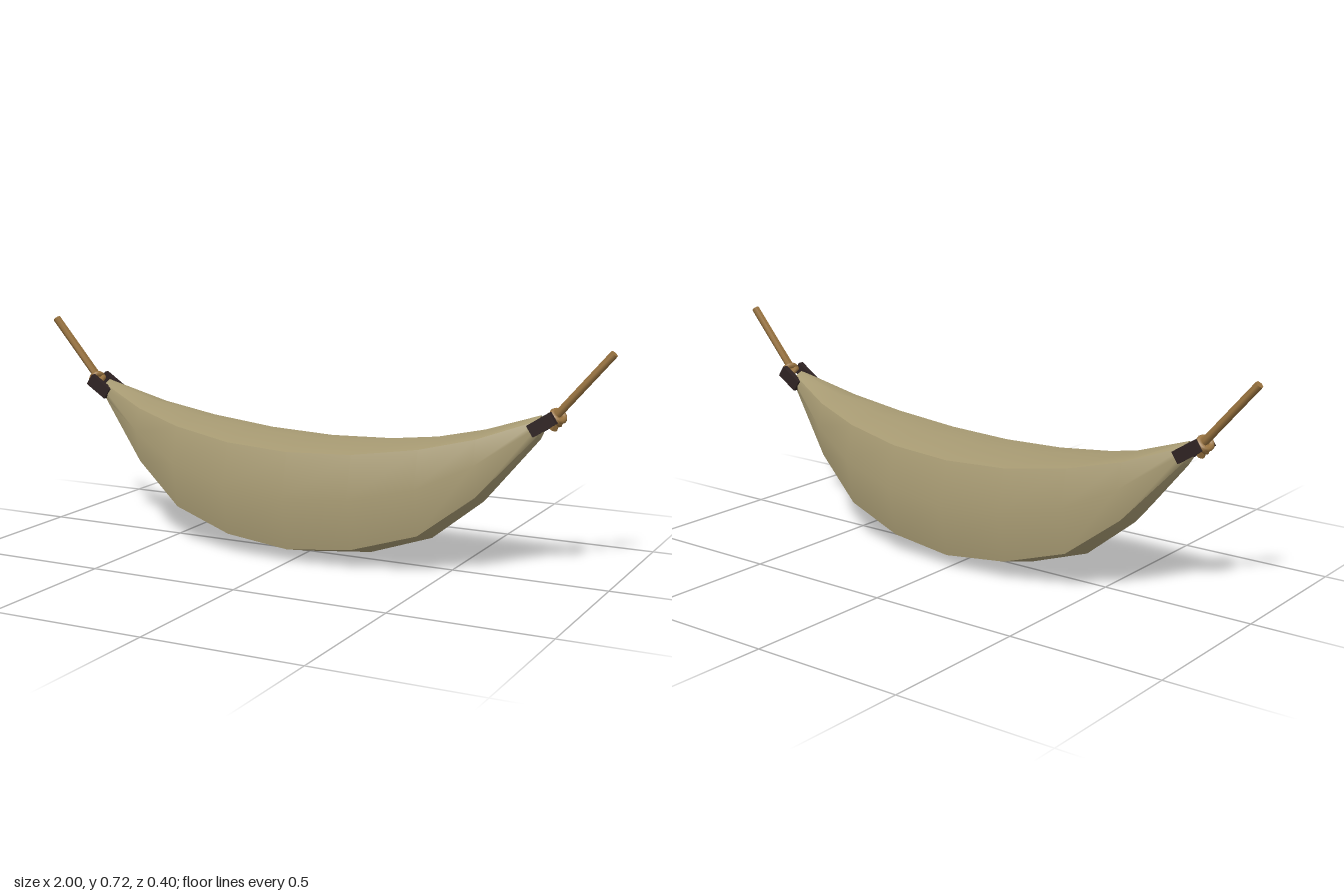
import * as THREE from 'three';
import { toCreasedNormals } from 'three/addons/utils/BufferGeometryUtils.js';

const canvas = new THREE.MeshStandardMaterial({ color: 0xa99c74 });
canvas.name = 'canvas';
const rope = new THREE.MeshStandardMaterial({ color: 0x9a7440 });
rope.name = 'rope';
const darkWood = new THREE.MeshStandardMaterial({ color: 0x2e2222 });
darkWood.name = 'darkWood';

function part(parent, name, geometry, material) {
  const mesh = new THREE.Mesh(geometry, material);
  mesh.name = name;
  parent.add(mesh);
  return mesh;
}

// Closed cloth body lofted through eight-sided sections along x
function bodyGeometry() {
  // x, top, upper crease, lower crease, bottom, half width
  const half = [
    [0, 0.38, 0.36, 0.045, 0.002, 0.198],
    [0.22, 0.39, 0.37, 0.068, 0.025, 0.188],
    [0.43, 0.418, 0.4, 0.13, 0.097, 0.152],
    [0.6, 0.457, 0.44, 0.26, 0.233, 0.104],
    [0.775, 0.515, 0.503, 0.457, 0.442, 0.034],
  ];
  const stations = [...half.slice(1).reverse().map(([x, ...r]) => [-x, ...r]), ...half];
  const positions = [];
  const index = [];
  for (const [x, top, upper, lower, bottom, w] of stations) {
    const mid = bottom + (top - bottom) * 0.575;
    const c = w * 0.815;
    const ring = [[top, 0], [upper, c], [mid, w], [lower, c], [bottom, 0], [lower, -c], [mid, -w], [upper, -c]];
    for (const [y, z] of ring) positions.push(x, y, z);
  }
  const last = (stations.length - 1) * 8;
  for (let i = 0; i < last; i += 8) {
    for (let j = 0; j < 8; j++) {
      const k = (j + 1) % 8;
      const a = i + j, b = i + 8 + j, c = i + k, d = i + 8 + k;
      index.push(a, c, b, b, c, d);
    }
  }
  // End caps
  for (let j = 1; j < 7; j++) {
    index.push(0, j + 1, j);
    index.push(last, last + j, last + j + 1);
  }
  const geometry = new THREE.BufferGeometry();
  geometry.setAttribute('position', new THREE.Float32BufferAttribute(positions, 3));
  geometry.setIndex(index);
  return toCreasedNormals(geometry, 0.75);
}

// Straight six-sided length of rope between two points
function ropeLength(parent, name, from, to, radius) {
  const a = new THREE.Vector3(...from);
  const b = new THREE.Vector3(...to);
  const dir = b.clone().sub(a);
  const geometry = toCreasedNormals(new THREE.CylinderGeometry(radius, radius, dir.length(), 6), 1.1);
  const mesh = part(parent, name, geometry, rope);
  mesh.position.copy(a).add(b).multiplyScalar(0.5);
  mesh.quaternion.setFromUnitVectors(new THREE.Vector3(0, 1, 0), dir.normalize());
}

// Clamp plates, knot and hanging rope for one end
function hanger(name) {
  const group = new THREE.Group();
  group.name = name;
  for (const side of [1, -1]) {
    const plate = part(group, 'clampPlate', new THREE.BoxGeometry(0.084, 0.04, 0.019), darkWood);
    plate.position.set(0.79, 0.494, side * 0.039);
    plate.rotation.z = 0.58;
  }
  ropeLength(group, 'hangingRope', [0.815, 0.51], [0.99, 0.713], 0.013);
  ropeLength(group, 'ropeTail', [0.826, 0.515, 0.004], [0.812, 0.474, -0.004], 0.012);

  // Knot made of crossed loops around the rope
  const knot = new THREE.Group();
  knot.name = 'knot';
  knot.position.set(0.822, 0.511, 0);
  knot.rotation.z = -0.71;
  for (const [tilt, y] of [[0.4, 0.008], [-0.4, -0.008]]) {
    const loop = part(knot, 'knotLoop', new THREE.TorusGeometry(0.019, 0.01, 6, 14), rope);
    loop.position.y = y;
    loop.rotation.x = Math.PI / 2 + tilt;
  }
  group.add(knot);
  return group;
}

export function createModel() {
  const model = new THREE.Group();
  model.name = 'hangingBundle';
  part(model, 'clothBody', bodyGeometry(), canvas);
  const left = hanger('leftHanger');
  const right = hanger('rightHanger');
  right.rotation.y = Math.PI;
  model.add(left, right);
  // Fill in the missing z of two-value points is handled by Vector3 defaults
  return model;
}
